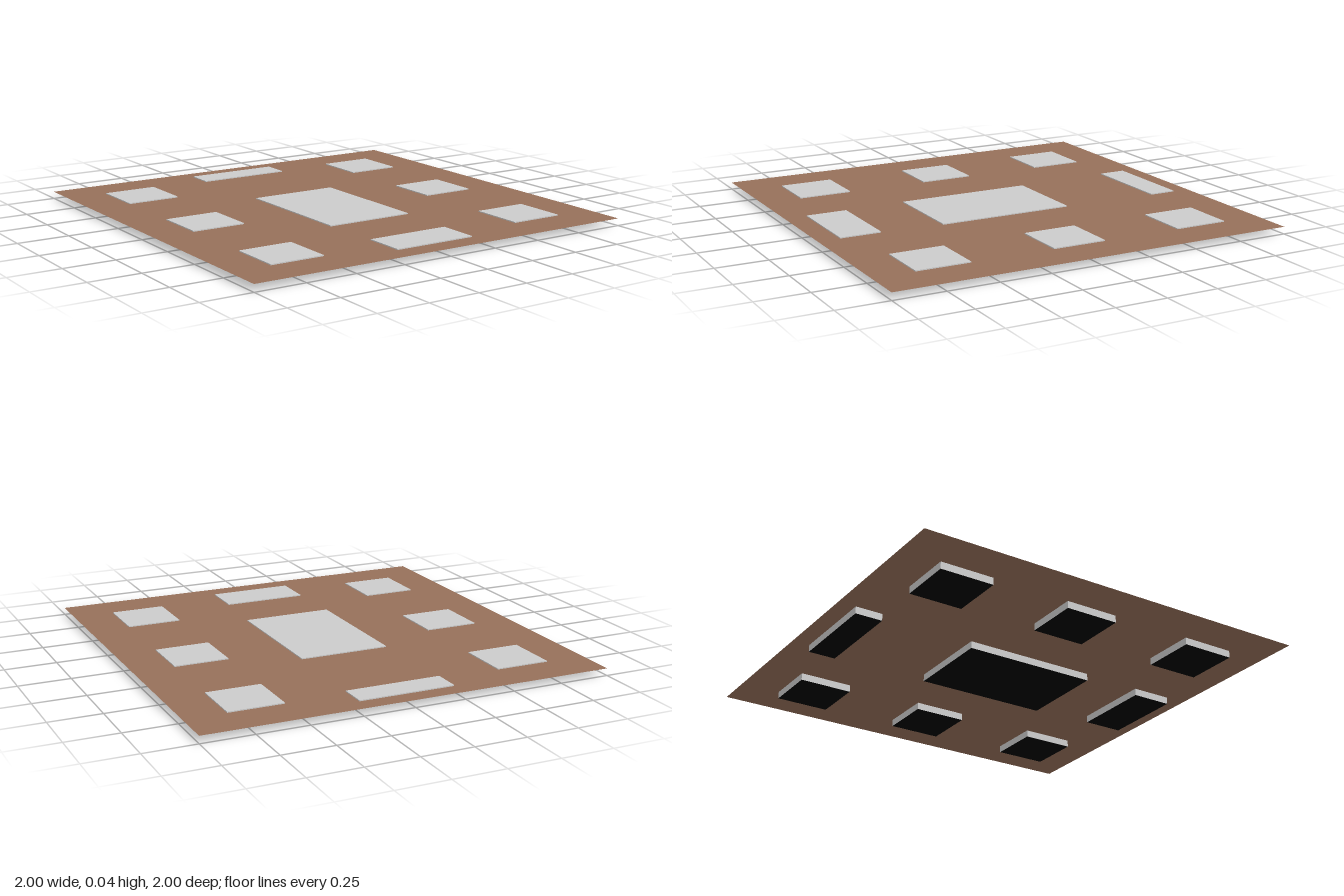
import * as THREE from 'three';

const HEIGHT = 0.04;
const BOARD_Y = 0.035;

export function createModel() {
  const model = new THREE.Group();
  const grey = new THREE.MeshStandardMaterial({ color: 0xcccccc });
  const black = new THREE.MeshStandardMaterial({ color: 0x000000 });
  const brown = new THREE.MeshStandardMaterial({ color: 0x96705a, side: THREE.DoubleSide });

  // Thin square board
  const board = new THREE.Mesh(new THREE.PlaneGeometry(2, 2).rotateX(-Math.PI / 2), brown);
  board.name = 'board';
  board.position.y = BOARD_Y;
  model.add(board);

  // Block set through the board, with a black underside
  const blockMaterials = [grey, grey, grey, black, grey, grey];
  function addBlock(name, x0, x1, z0, z1) {
    const block = new THREE.Mesh(new THREE.BoxGeometry(x1 - x0, HEIGHT, z1 - z0), blockMaterials);
    block.name = name;
    block.position.set((x0 + x1) / 2, HEIGHT / 2, (z0 + z1) / 2);
    model.add(block);
  }

  // Middle column
  addBlock('centreBlock', -0.222, 0.222, -0.29, 0.383);
  addBlock('backBar', -0.24, 0.23, -0.913, -0.777);
  addBlock('frontBar', -0.212, 0.202, 0.69, 0.893);

  // Three square blocks down each side
  const rows = { back: -0.67, middle: -0.01, front: 0.667 };
  for (const [row, z] of Object.entries(rows)) {
    addBlock(row + 'LeftBlock', 0.533, 0.8, z - 0.133, z + 0.133);
    addBlock(row + 'RightBlock', -0.8, -0.533, z - 0.133, z + 0.133);
  }

  return model;
}
